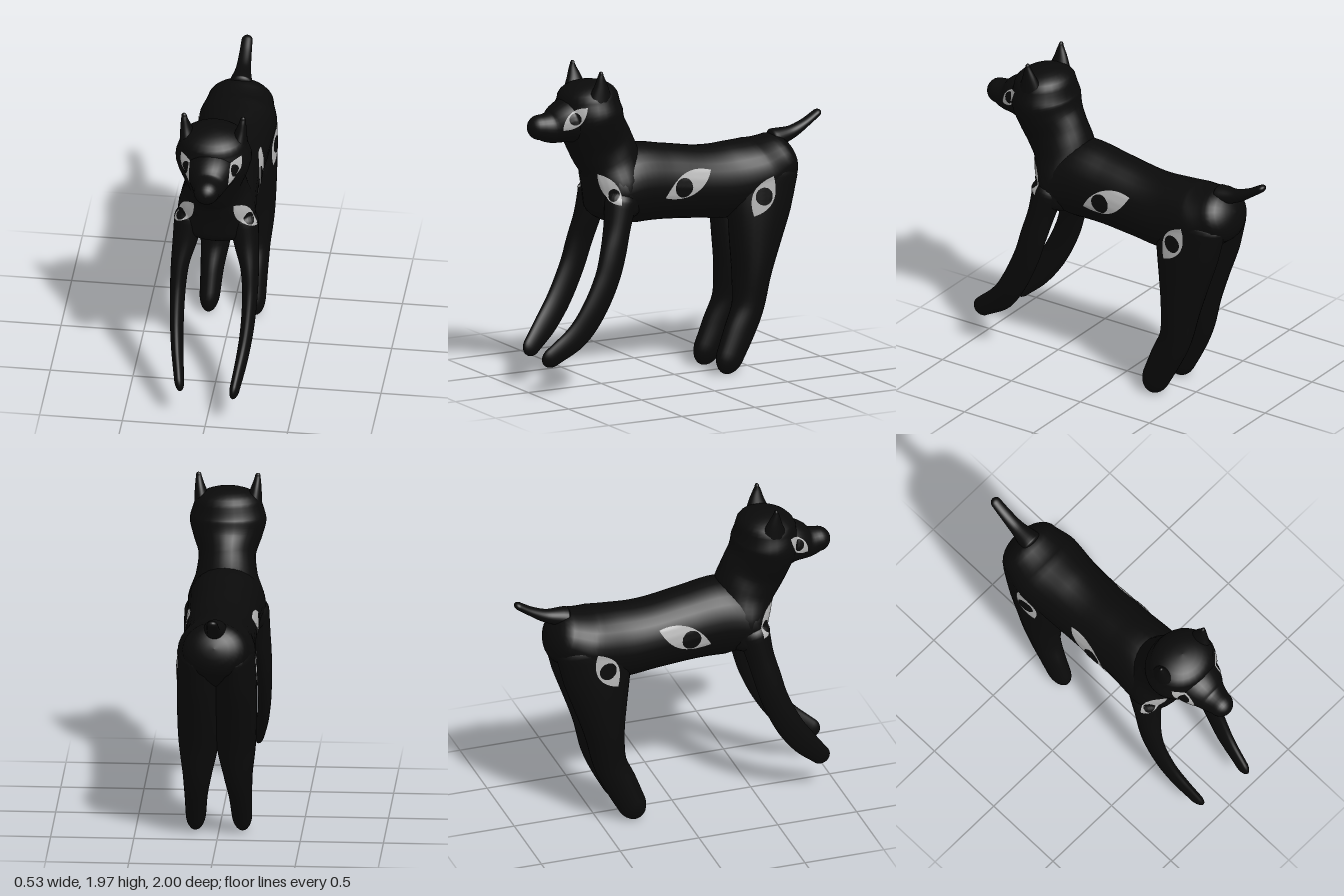
import * as THREE from 'three';

const black = new THREE.MeshStandardMaterial({ color: 0x0a0a0a });
const eyeWhite = new THREE.MeshStandardMaterial({ color: 0xb4b4b4, side: THREE.DoubleSide });
const eyeBlack = new THREE.MeshStandardMaterial({ color: 0x0a0a0a, side: THREE.DoubleSide });

// Smooth limb through sections [x, y, z, half width in x, half depth], with domed ends.
function loft(sections, capStart, capEnd, sides = 28, steps = 5) {
  const path = new THREE.CatmullRomCurve3(sections.map(s => new THREE.Vector3(s[0], s[1], s[2])));
  const size = new THREE.CatmullRomCurve3(sections.map(s => new THREE.Vector3(s[3], s[4], 0)));
  const rings = [];
  const addRing = (t, push, scale) => {
    const tangent = path.getTangent(t);
    const centre = path.getPoint(t).addScaledVector(tangent, push);
    const flat = tangent.clone().setX(0).normalize();
    const r = size.getPoint(t).multiplyScalar(scale);
    rings.push({ centre, r, n: new THREE.Vector3(0, -flat.z, flat.y) });
  };
  const capSteps = 7, count = (sections.length - 1) * steps;
  for (let i = capSteps; i > 0; i--) {
    const a = (i / capSteps) * Math.PI / 2;
    addRing(0, -capStart * Math.sin(a), Math.cos(a));
  }
  for (let i = 0; i <= count; i++) addRing(i / count, 0, 1);
  for (let i = 1; i <= capSteps; i++) {
    const a = (i / capSteps) * Math.PI / 2;
    addRing(1, capEnd * Math.sin(a), Math.cos(a));
  }
  const pos = [], index = [];
  rings.forEach(({ centre, r, n }, i) => {
    for (let j = 0; j < sides; j++) {
      const a = (j / sides) * Math.PI * 2, s = r.y * Math.sin(a);
      pos.push(centre.x + r.x * Math.cos(a), centre.y + n.y * s, centre.z + n.z * s);
      if (i === rings.length - 1) continue;
      const k = (j + 1) % sides, p = i * sides, q = p + sides;
      index.push(p + j, q + j, p + k, p + k, q + j, q + k);
    }
  });
  return surface(pos, index);
}

function surface(pos, index) {
  const geo = new THREE.BufferGeometry();
  geo.setAttribute('position', new THREE.Float32BufferAttribute(pos, 3));
  geo.setIndex(index);
  geo.computeVertexNormals();
  return geo;
}

// Grid patch laid onto the skin; shape(u, v) gives flat coordinates, u and v run from -1 to 1.
function patch(targets, eye, side, shape, lift) {
  const { centre, facing, tilt } = eye;
  const a = THREE.MathUtils.degToRad(facing), b = THREE.MathUtils.degToRad(tilt);
  const out = new THREE.Vector3(side * Math.sin(a), 0, Math.cos(a));
  const right = new THREE.Vector3(side * Math.cos(a), 0, -Math.sin(a));
  const origin = new THREE.Vector3(side * centre[0], centre[1], centre[2]);
  const caster = new THREE.Raycaster();
  const nu = 18, nv = 8, pos = [], index = [];
  let depth = 0.4;
  for (let i = 0; i <= nu; i++) for (let j = 0; j <= nv; j++) {
    const [p, q] = shape(i / nu * 2 - 1, j / nv * 2 - 1);
    const start = origin.clone().addScaledVector(out, 0.4)
      .addScaledVector(right, p * Math.cos(b) - q * Math.sin(b));
    start.y += p * Math.sin(b) + q * Math.cos(b);
    caster.set(start, out.clone().negate());
    const hit = caster.intersectObjects(targets, false)[0];
    if (hit) depth = hit.distance;
    start.addScaledVector(out, lift - depth);
    pos.push(start.x, start.y, start.z);
    if (i < nu && j < nv) {
      const k = i * (nv + 1) + j, m = k + nv + 1;
      const quad = [k, m, k + 1, k + 1, m, m + 1];
      index.push(...(side > 0 ? quad : quad.reverse()));
    }
  }
  return surface(pos, index);
}

export function createModel() {
  const group = new THREE.Group();
  const skin = [];
  const add = (name, geometry, material = black) => {
    const mesh = new THREE.Mesh(geometry, material);
    mesh.name = name;
    group.add(mesh);
    return mesh;
  };
  const limb = (name, sections, c0, c1) => skin.push(add(name, loft(sections, c0, c1)));

  // Body, from chest to rump
  limb('torso', [
    [0, 1.2, 0.45, 0.235, 0.205], [0, 1.22, 0.3, 0.225, 0.245], [0, 1.205, 0.1, 0.215, 0.23],
    [0, 1.175, -0.15, 0.215, 0.22], [0, 1.165, -0.35, 0.22, 0.23],
    [0, 1.2, -0.55, 0.235, 0.21], [0, 1.25, -0.68, 0.2, 0.17],
  ], 0.13, 0.12);

  // Neck rising into the skull
  limb('neckAndHead', [
    [0, 1.1, 0.43, 0.235, 0.15], [0, 1.25, 0.43, 0.23, 0.175], [0, 1.38, 0.455, 0.185, 0.19],
    [0, 1.48, 0.505, 0.172, 0.2], [0, 1.58, 0.555, 0.205, 0.195],
    [0, 1.68, 0.587, 0.23, 0.2], [0, 1.78, 0.595, 0.205, 0.18],
  ], 0.1, 0.1);

  limb('snout', [
    [0, 1.66, 0.6, 0.18, 0.17], [0, 1.645, 0.75, 0.15, 0.135],
    [0, 1.62, 0.85, 0.1, 0.098], [0, 1.625, 0.92, 0.078, 0.077],
  ], 0.05, 0.08);

  limb('tail', [
    [0, 1.38, -0.68, 0.07, 0.06], [0, 1.405, -0.8, 0.045, 0.04],
    [0, 1.455, -0.9, 0.037, 0.027], [0, 1.5, -0.97, 0.033, 0.023],
  ], 0.03, 0.033);

  // Paired parts
  for (const side of [1, -1]) {
    const label = side > 0 ? 'left' : 'right';
    const pair = (name, sections, c0, c1) =>
      limb(label + name, sections.map(([x, ...rest]) => [x * side, ...rest]), c0, c1);

    pair('FrontLeg', [
      [0.165, 1.15, 0.46, 0.09, 0.1], [0.185, 1.0, 0.495, 0.075, 0.085],
      [0.21, 0.85, 0.535, 0.055, 0.085], [0.218, 0.7, 0.58, 0.046, 0.083],
      [0.212, 0.5, 0.675, 0.04, 0.082], [0.195, 0.36, 0.775, 0.036, 0.078],
      [0.172, 0.245, side > 0 ? 0.93 : 0.88, 0.03, 0.06],
    ], 0.08, 0.07);

    pair('BackLeg', [
      [0.11, 1.2, -0.54, 0.122, 0.235], [0.115, 1.0, -0.515, 0.125, 0.21],
      [0.112, 0.8, -0.49, 0.128, 0.165], [0.112, 0.6, -0.465, 0.12, 0.122],
      [0.122, 0.4, -0.435, 0.088, 0.102], [0.133, 0.25, -0.37, 0.07, 0.1],
      [0.138, 0.12, -0.31, 0.062, 0.09],
    ], 0.1, 0.125);

    pair('Ear', [
      [0.145, 1.76, 0.595, 0.06, 0.09], [0.165, 1.86, 0.595, 0.036, 0.05],
      [0.175, 1.925, 0.6, 0.021, 0.024], [0.177, 1.95, 0.6, 0.016, 0.013],
    ], 0.02, 0.018);
  }

  // Almond eye markings: on the face, shoulder, flank and haunch
  const eyes = [
    { name: 'Face', centre: [0.145, 1.685, 0.755], facing: 50, tilt: 44, half: [0.1, 0.045], pupil: 0.036, shift: 0 },
    { name: 'Shoulder', centre: [0.185, 1.235, 0.545], facing: 48, tilt: -48, half: [0.12, 0.05], pupil: 0.036, shift: 0.04 },
    { name: 'Flank', centre: [0.22, 1.215, 0.015], facing: 90, tilt: 23, half: [0.175, 0.072], pupil: 0.06, shift: -0.04 },
    { name: 'Haunch', centre: [0.22, 1.09, -0.485], facing: 90, tilt: 61, half: [0.135, 0.07], pupil: 0.055, shift: 0 },
  ];
  group.updateMatrixWorld(true);
  for (const side of [1, -1]) for (const eye of eyes) {
    const name = (side > 0 ? 'left' : 'right') + eye.name;
    const almond = (u, v) => [u * eye.half[0], v * eye.half[1] * (1 - u * u)];
    const disc = (u, v) => [eye.shift + u * eye.pupil, v * eye.pupil * Math.sqrt(1 - u * u)];
    add(name + 'EyeWhite', patch(skin, eye, side, almond, 0.004), eyeWhite);
    add(name + 'Pupil', patch(skin, eye, side, disc, 0.007), eyeBlack);
  }
  return group;
}
